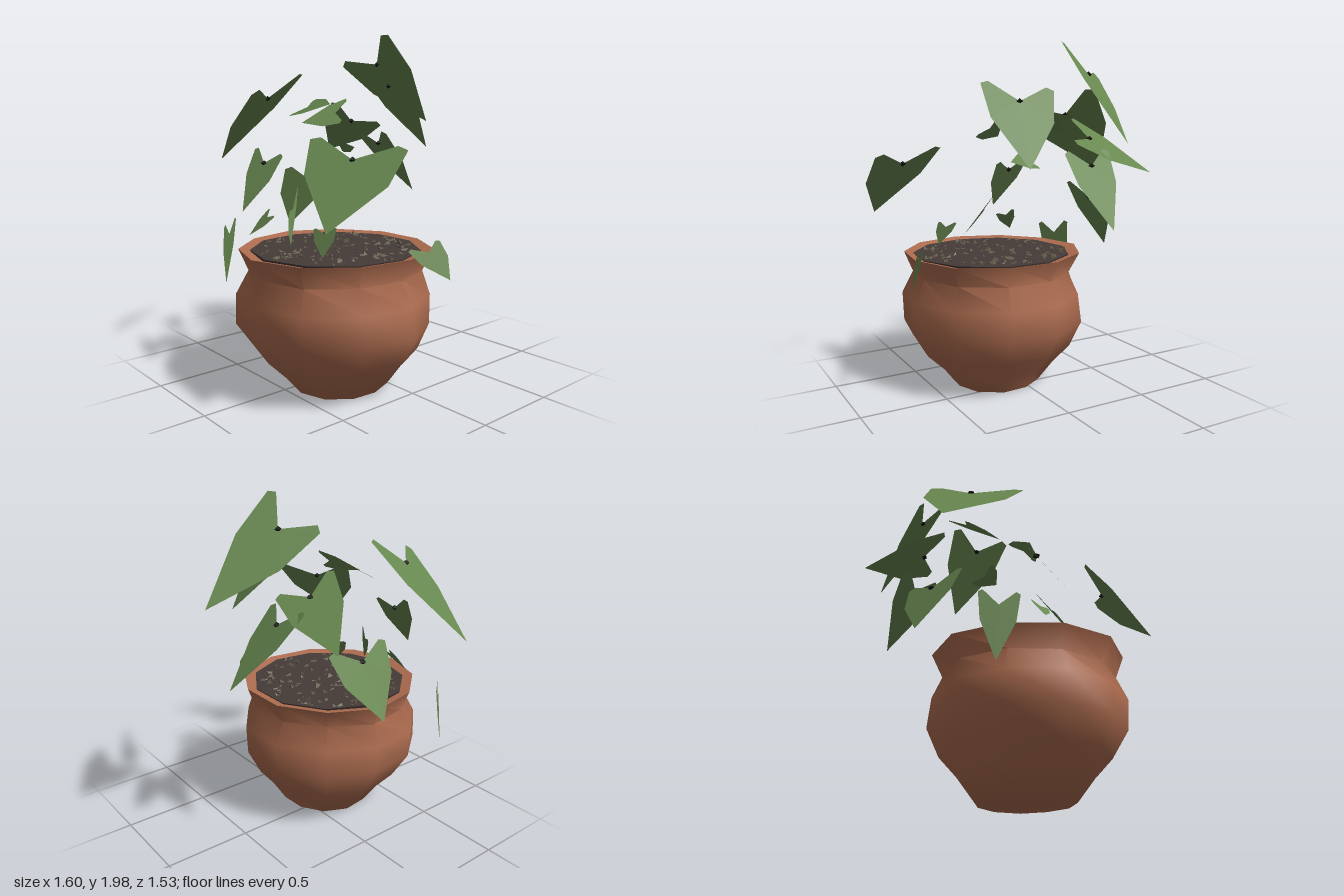
import * as THREE from 'three';
import { mergeVertices, toCreasedNormals } from 'three/addons/utils/BufferGeometryUtils.js';

const mat = (name, color, side = THREE.FrontSide) => {
  const m = new THREE.MeshStandardMaterial({ color, side });
  m.name = name;
  return m;
};

// small seeded random generator
function seeded(seed) {
  return () => {
    seed = (seed * 16807) % 2147483647;
    return seed / 2147483647;
  };
}

// the notch lies between the lobes, drawn a little towards the tip
const notchOf = (tip, a, b) => a.clone().lerp(b, 0.5).lerp(tip, 0.18);

// heart-shaped leaf: each half runs notch, inner lobe, outer lobe, side, tip
function leafGeometry(tip, lobeA, lobeB) {
  const notch = notchOf(tip, lobeA, lobeB);
  const pts = [tip, notch];
  for (const [p, q] of [[lobeA, lobeB], [lobeB, lobeA]]) {
    const inner = p.clone().lerp(notch, 0.3).addScaledVector(p.clone().sub(tip), 0.09);
    const side = p.clone().lerp(tip, 0.42).addScaledVector(p.clone().sub(q), 0.13);
    pts.push(inner, p, side);
  }
  const g = new THREE.BufferGeometry().setFromPoints(pts);
  g.setIndex([1, 2, 3, 1, 3, 4, 1, 4, 0, 1, 6, 5, 1, 7, 6, 1, 0, 7]);
  g.computeVertexNormals();
  return g;
}

export function createModel() {
  const root = new THREE.Group();
  const clay = mat('terracotta', 0xae6d50, THREE.DoubleSide);
  const soilMat = mat('soil', 0x453b38);
  const stoneMat = mat('pebble', 0x655e4d);
  const green = mat('leaf green', 0x688850, THREE.DoubleSide);
  const dark = mat('stem black', 0x0c0f0a);

  const add = (name, geo, material, parent = root) => {
    const m = new THREE.Mesh(geo, material);
    m.name = name;
    parent.add(m);
    return m;
  };
  const addGroup = (name) => {
    const g = new THREE.Group();
    g.name = name;
    root.add(g);
    return g;
  };

  // pot: uneven hand-thrown bowl with a flared rim
  const profile = [[0, 0], [0.27, 0], [0.36, 0.12], [0.455, 0.22], [0.54, 0.37], [0.54, 0.54],
    [0.48, 0.67], [0.535, 0.79], [0.47, 0.775], [0.45, 0.7]];
  let pot = new THREE.LatheGeometry(profile.map(([r, y]) => new THREE.Vector2(r, y)), 11);
  pot.deleteAttribute('uv');
  pot.deleteAttribute('normal');
  pot = mergeVertices(pot, 1e-4);
  const p = pot.attributes.position;
  for (let i = 0; i < p.count; i++) {
    const x = p.getX(i), y = p.getY(i), z = p.getZ(i);
    const a = Math.atan2(x, z);
    const k = 1 + 0.02 * Math.sin(a * 3 + y * 9) + 0.012 * Math.cos(a * 5 - y * 6);
    p.setXYZ(i, 0.095 + x * k, y, 0.185 + Math.min(y, 0.4) * 0.08 + z * k);
  }
  add('pot', toCreasedNormals(pot, 1.0), clay);

  // soil disc and scattered pebbles
  const soil = add('soil', new THREE.CylinderGeometry(0.47, 0.45, 0.05, 11), soilMat);
  soil.position.set(0.1, 0.758, 0.215);
  const rnd = seeded(77);
  const stones = addGroup('pebbles');
  const stoneGeo = toCreasedNormals(new THREE.ConeGeometry(0.5, 0.9, 4), 0.2);
  for (let i = 0; i < 130; i++) {
    const r = 0.43 * Math.sqrt(rnd()), a = rnd() * Math.PI * 2;
    const s = add('pebble', stoneGeo, stoneMat, stones);
    s.position.set(0.1 + r * Math.sin(a), 0.782, 0.215 + r * Math.cos(a));
    s.rotation.set((rnd() - 0.5) * 2.4, rnd() * 6, (rnd() - 0.5) * 2.4);
    s.scale.setScalar(0.026 + rnd() * 0.018);
  }

  // leaves: tip and two lobes
  const foliage = addGroup('foliage');
  const stubGeo = new THREE.OctahedronGeometry(1);
  const addLeaf = (corners, hasStub) => {
    const [tip, a, b] = corners.map((c) => new THREE.Vector3(...c));
    add('leaf', leafGeometry(tip, a, b), green, foliage);
    if (!hasStub) return;
    // dark stem stub at the notch
    const stub = add('stemStub', stubGeo, dark, foliage);
    stub.position.copy(notchOf(tip, a, b));
    stub.scale.set(0.022, 0.016, 0.022);
  };
  const largeLeaves = [
    [[-0.81, 1.23, 0.39], [-0.49, 1.75, -0.01], [-0.28, 1.62, 0.5]],
    [[-0.15, 1.46, -0.77], [-0.36, 1.8, -0.23], [-0.05, 1.98, -0.32]],
    [[0.19, 1.32, -0.41], [-0.1, 1.73, -0.17], [0.3, 1.77, -0.06]],
    [[-0.16, 1.01, -0.66], [-0.36, 1.4, -0.33], [-0.07, 1.39, -0.33]],
    [[0.66, 1, 0.73], [0.29, 1.4, 0.53], [0.77, 1.36, 0.33]],
    [[-0.65, 1.27, -0.35], [-0.29, 1.58, -0.08], [-0.14, 1.44, -0.35]],
    [[-0.6, 0.8, 0.02], [-0.42, 1.18, 0.18], [-0.42, 1.17, -0.22]],
    [[-0.14, 1, 0.66], [-0.3, 1.32, 0.47], [-0.06, 1.29, 0.45]],
  ];
  const smallLeaves = [
    [[-0.57, 0.5, 0.52], [-0.59, 0.88, 0.43], [-0.46, 0.86, 0.59]],
    [[-0.03, 1.57, 0.14], [-0.34, 1.6, 0], [-0.37, 1.5, 0.18]],
    [[-0.02, 1.47, 0.35], [0.08, 1.6, 0.12], [0.18, 1.47, 0.25]],
    [[0.06, 1.33, 0.04], [-0.1, 1.29, -0.02], [-0.08, 1.38, 0.12]],
    [[0.13, 0.84, 0.54], [-0.02, 1.12, 0.38], [0.03, 0.98, 0.48]],
    [[-0.22, 0.85, 0.57], [-0.19, 0.99, 0.46], [-0.08, 0.96, 0.5]],
    [[0.33, 0.8, 0.49], [0.22, 0.93, 0.46], [0.36, 0.95, 0.42]],
    [[0.71, 0.67, -0.05], [0.6, 0.83, 0.15], [0.64, 0.87, -0.04]],
  ];
  largeLeaves.forEach((l) => addLeaf(l, true));
  smallLeaves.forEach((l) => addLeaf(l, false));
  return root;
}
